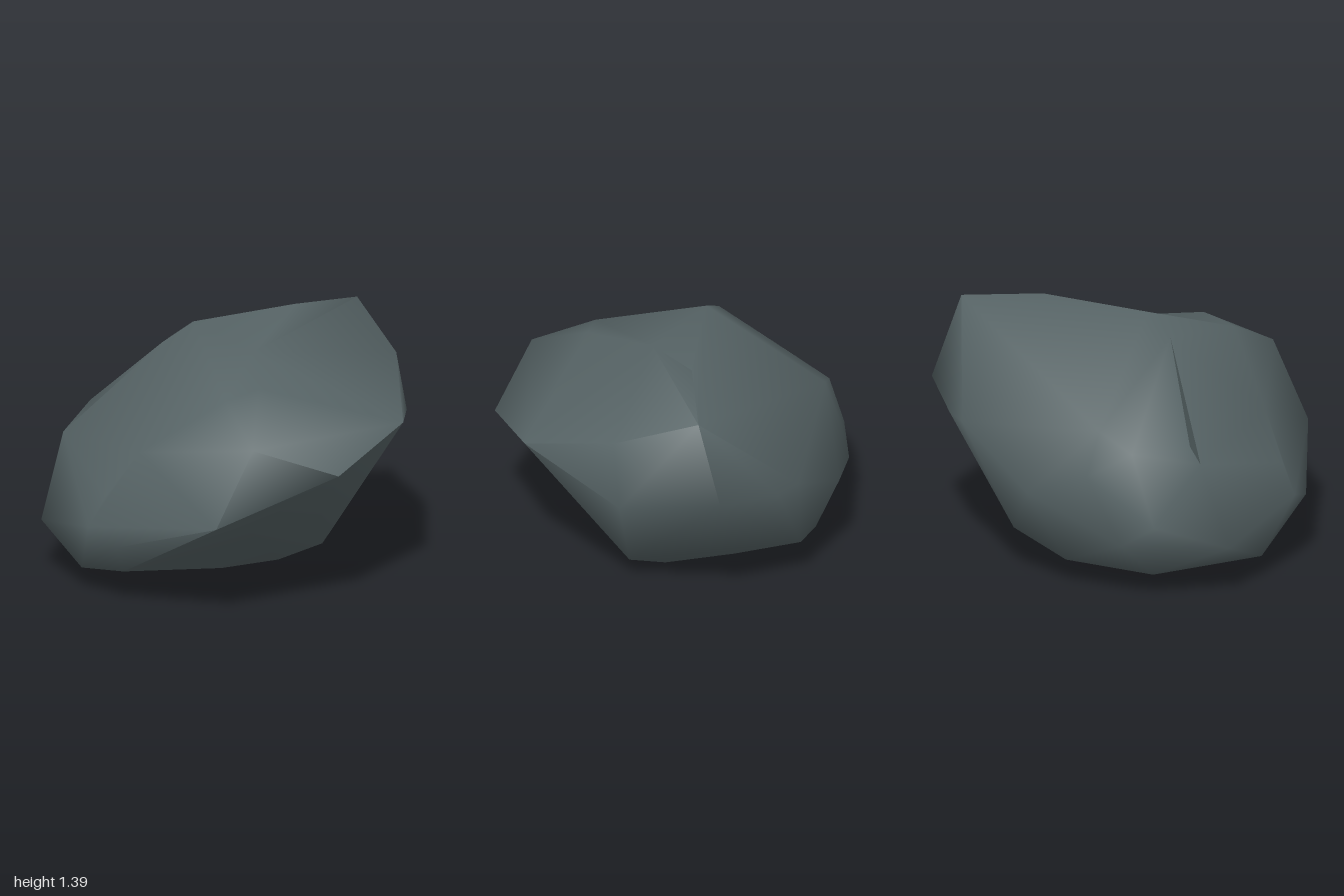
import * as THREE from 'three';
import { ConvexGeometry } from 'three/addons/geometries/ConvexGeometry.js';
import { mergeVertices, toCreasedNormals } from 'three/addons/utils/BufferGeometryUtils.js';

// Corner points of the boulder, grouped by region
const crown = [
  [-0.17, 1.39, -0.04], [0.35, 1.38, -0.42], [0.66, 1.32, -0.76], [-0.33, 1.29, 0.02],
  [0.03, 1.33, 0.13], [0.32, 1.33, -0.1], [0.05, 1.14, 0.57], [0.22, 1.18, 0.47],
  [0.9, 1.14, -0.36],
];
const waist = [
  [0.98, 0.93, 0.22], [0.95, 0.79, -0.45], [0.67, 0.88, -0.93], [0.29, 0.81, -1],
  [0.13, 0.81, -1], [-0.36, 0.54, -0.84], [-0.42, 0.83, 0.54], [-0.6, 0.58, 0.56],
  [-0.69, 0.42, 0.59], [-0.53, 0.35, 0.73], [-0.28, 0.45, 0.83], [-0.12, 0.47, 0.88],
  [0.03, 0.55, 1], [0.22, 0.96, 0.88], [0.67, 0.78, 0.73], [0.5, 0.32, 0.25],
];
const sideFin = [
  [-0.62, 0.68, -0.61], [-0.59, 0.92, -0.52], [-0.75, 0.82, -0.4], [-0.81, 0.33, -0.49],
  [-0.92, 0.45, -0.35], [-0.87, 0.75, -0.05], [-0.98, 0.29, 0.07],
];
const base = [
  [-0.5, 0.17, 0.58], [-0.74, 0.12, 0.37], [-0.76, 0.12, -0.28], [-0.38, 0.03, -0.3],
  [0, 0.08, 0.2], [0.14, 0, -0.2], [0.28, 0.02, -0.16], [0.4, 0.1, -0.15],
  [0.52, 0.13, -0.12], [0, 0.05, -0.4], [-0.4, 0.14, -0.63], [-0.1, 0.25, -0.8],
];

// Hollows: a point on the outer surface and where it is pushed in to
const hollows = [
  { from: [0.15, 1.4, 0.04], to: [0.16, 1.25, 0.05] }, // pit on the crown
  { from: [-0.73, 0.92, -0.1], to: [-0.69, 0.79, -0.03] }, // notch behind the side fin
  { from: [0.05, 0.22, 0.6], to: [0.16, 0.38, 0.45] }, // undercut below the front lip
];

export function createModel() {
  const stone = new THREE.MeshStandardMaterial({ color: 0x566365 });
  stone.name = 'slate grey stone';

  // Faceted shell around all the corners
  const corners = [...crown, ...waist, ...sideFin, ...base, ...hollows.map((h) => h.from)];
  let shell = new ConvexGeometry(corners.map((p) => new THREE.Vector3(...p)));
  shell.deleteAttribute('normal');
  shell = mergeVertices(shell, 1e-4);

  // Push the hollows in
  const position = shell.attributes.position;
  const v = new THREE.Vector3();
  for (const { from, to } of hollows) {
    const outer = new THREE.Vector3(...from);
    for (let i = 0; i < position.count; i++) {
      if (v.fromBufferAttribute(position, i).distanceTo(outer) < 1e-3) position.setXYZ(i, ...to);
    }
  }

  // Smooth the faces, keeping the sharp ridges
  const boulder = new THREE.Mesh(toCreasedNormals(shell, 1.3), stone);
  boulder.name = 'boulder';

  const model = new THREE.Group();
  model.name = 'rock';
  model.add(boulder);
  return model;
}
